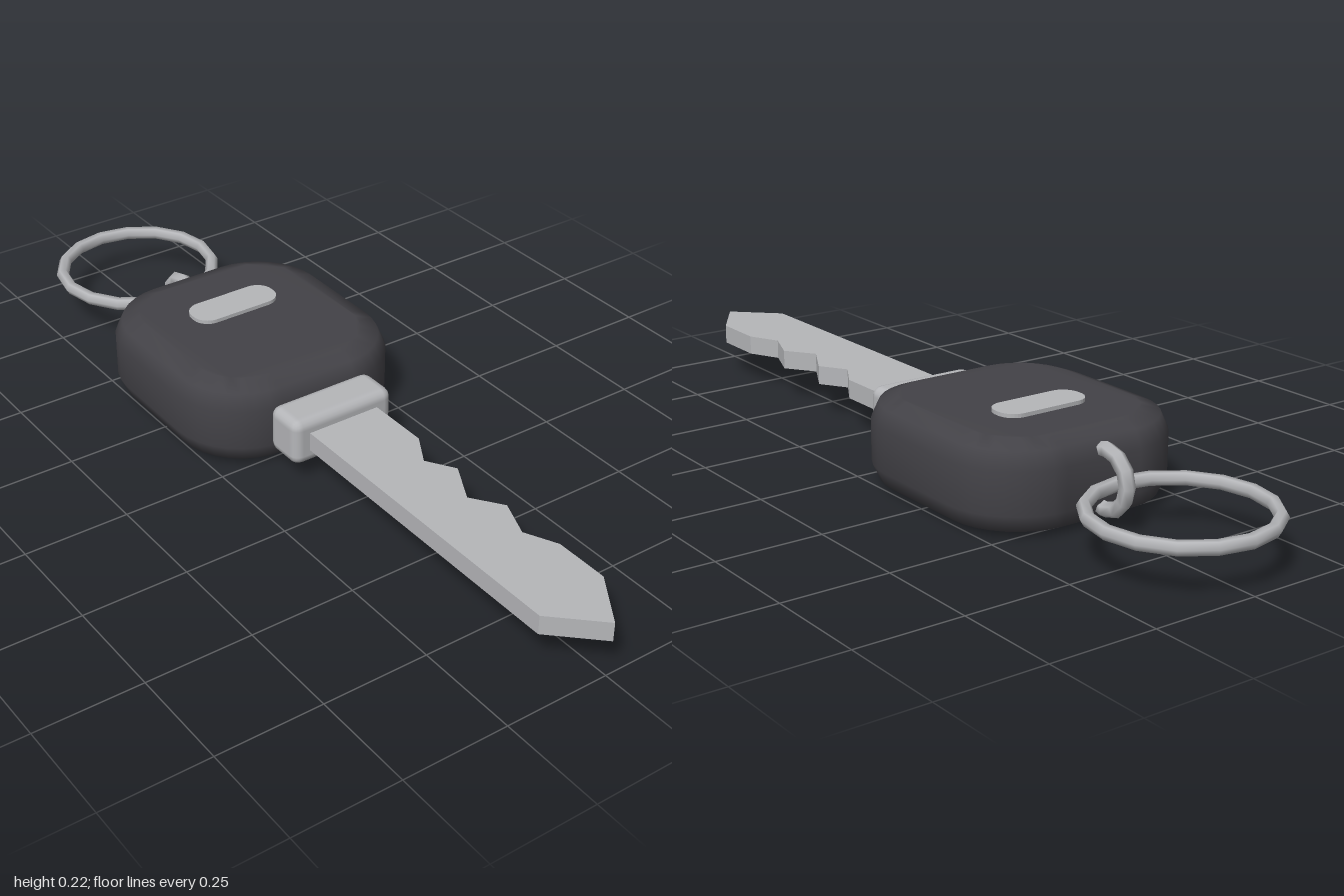
import * as THREE from 'three';
import { mergeVertices } from 'three/addons/utils/BufferGeometryUtils.js';
import { RoundedBoxGeometry } from 'three/addons/geometries/RoundedBoxGeometry.js';

// Rounded rectangle centred on the origin
function roundedRect(w, d, r) {
  const s = new THREE.Shape();
  const x = w / 2 - r, y = d / 2 - r;
  s.absarc(x, y, r, 0, Math.PI / 2);
  s.absarc(-x, y, r, Math.PI / 2, Math.PI);
  s.absarc(-x, -y, r, Math.PI, Math.PI * 1.5);
  s.absarc(x, -y, r, Math.PI * 1.5, Math.PI * 2);
  s.closePath();
  return s;
}

// Lay an extrusion flat, so that its depth runs up y
function slab(shape, options) {
  return new THREE.ExtrudeGeometry(shape, options).rotateX(-Math.PI / 2);
}

function smooth(geo) {
  geo.deleteAttribute('normal');
  geo.deleteAttribute('uv');
  const merged = mergeVertices(geo, 1e-4);
  merged.computeVertexNormals();
  return merged;
}

export function createModel() {
  const group = new THREE.Group();
  const plastic = new THREE.MeshStandardMaterial({ color: 0x434247 });
  plastic.name = 'dark plastic';
  const metal = new THREE.MeshStandardMaterial({ color: 0xb5b6b9 });
  metal.name = 'grey metal';

  const add = (name, geo, material, x, y, z) => {
    const mesh = new THREE.Mesh(geo, material);
    mesh.name = name;
    mesh.position.set(x, y, z);
    group.add(mesh);
  };

  // Pillow-shaped grip
  const grip = slab(roundedRect(0.43, 0.465, 0.12), {
    depth: 0.097, curveSegments: 4, bevelEnabled: true,
    bevelSize: 0.06, bevelThickness: 0.055, bevelSegments: 2,
  });
  add('grip', smooth(grip), plastic, 0, 0.055, -0.2625);

  // Raised pill plate on the grip
  const badge = slab(roundedRect(0.226, 0.09, 0.04), { depth: 0.012, curveSegments: 4, bevelEnabled: false });
  add('badge', badge, metal, 0, 0.204, -0.333);

  // Collar between grip and blade
  add('collar', new RoundedBoxGeometry(0.271, 0.116, 0.105, 2, 0.024), metal, 0, 0.104, 0.0725);

  // Blade with teeth on one side, as x, z points
  const outline = [
    [-0.095, 0.1], [-0.095, 0.9], [0.01, 1], [0.09, 0.88], [0.09, 0.75], [0.053, 0.675],
    [0.088, 0.585], [0.037, 0.515], [0.088, 0.42], [0.046, 0.355], [0.09, 0.28], [0.09, 0.1],
  ];
  const blade = new THREE.Shape(outline.map(([x, z]) => new THREE.Vector2(x, -z)));
  add('blade', slab(blade, { depth: 0.046, bevelEnabled: false }), metal, 0, 0.082, 0);

  // Upright link and flat key ring
  add('link', new THREE.TorusGeometry(0.066, 0.018, 6, 12).rotateY(Math.PI / 2), metal, 0, 0.106, -0.56);
  add('keyRing', new THREE.TorusGeometry(0.194, 0.016, 6, 16).rotateX(Math.PI / 2), metal, 0, 0.108, -0.79);

  return group;
}
